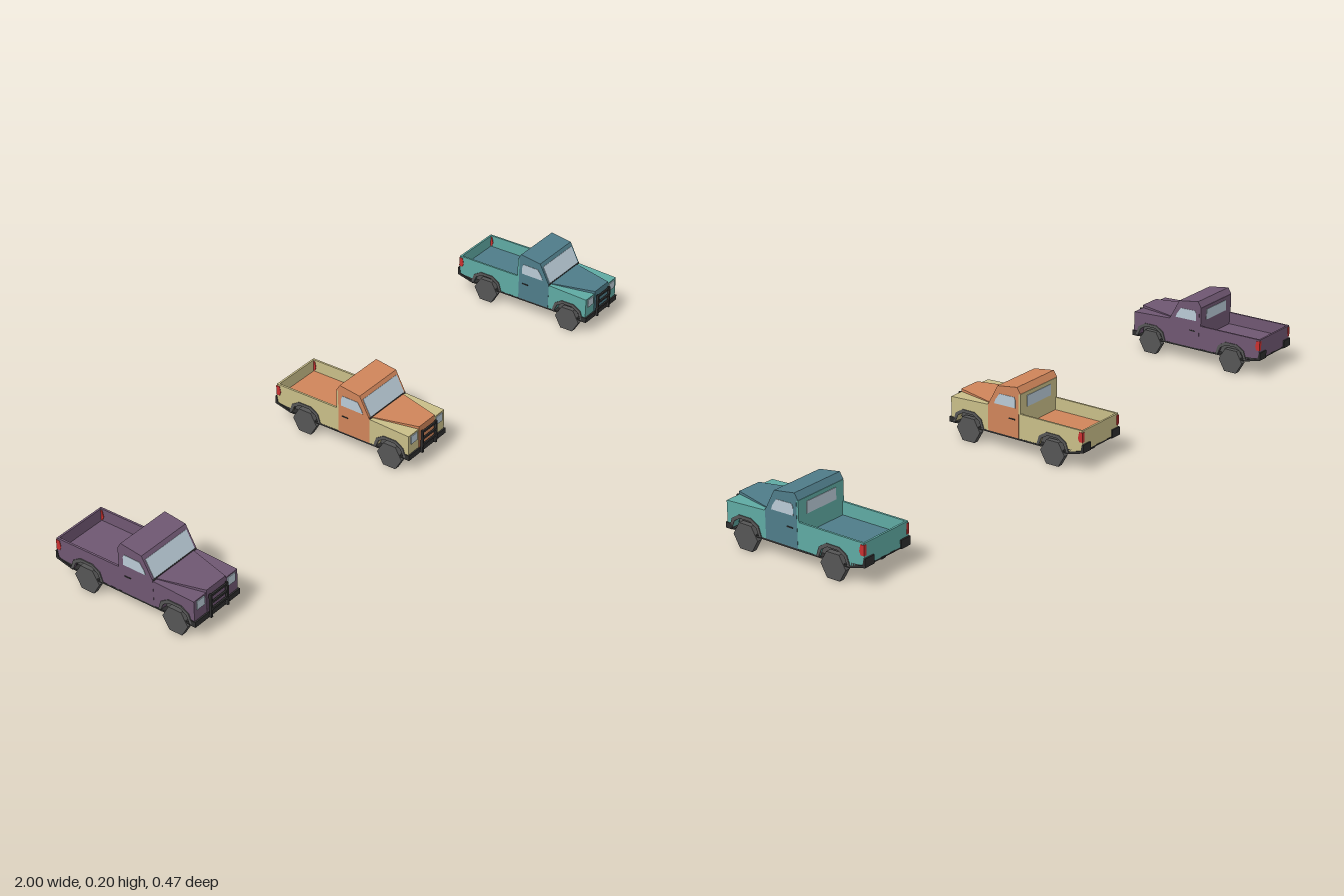
import * as THREE from 'three';

const mat = (name, color) => {
  const m = new THREE.MeshStandardMaterial({ color });
  m.name = name;
  return m;
};

// Extrude a (z, y) side profile across x0..x1
function slab(points, x0, x1, holes = []) {
  const shape = new THREE.Shape(points.map(p => new THREE.Vector2(...p)));
  for (const h of holes) shape.holes.push(new THREE.Path(h.map(p => new THREE.Vector2(...p))));
  const g = new THREE.ExtrudeGeometry(shape, { depth: x1 - x0, bevelEnabled: false });
  return g.rotateY(-Math.PI / 2).translate(x1, 0, 0);
}

function box(x0, x1, y0, y1, z0, z1) {
  return new THREE.BoxGeometry(x1 - x0, y1 - y0, z1 - z0)
    .translate((x0 + x1) / 2, (y0 + y1) / 2, (z0 + z1) / 2);
}

const FRONT_AXLE = 0.16, REAR_AXLE = -0.131;
// Wheel arch outlines, running from front to rear
const arch = (c, pts) => [...pts, ...pts.slice().reverse().map(([z, y]) => [-z, y])].map(([z, y]) => [c + z, y]);
const outerArch = c => arch(c, [[0.054, 0.05], [0.045, 0.077], [0.021, 0.092]]);
const innerArch = c => arch(c, [[0.046, 0.05], [0.037, 0.071], [0.017, 0.083]]);

function makeTruck(name, cabMat, bodyMat, m) {
  const truck = new THREE.Group();
  truck.name = name;
  const add = (part, geometry, material) => {
    const mesh = new THREE.Mesh(geometry, material);
    mesh.name = part;
    truck.add(mesh);
  };
  // Adds a slab on both sides
  const pair = (part, points, x0, x1, material) => {
    add(part + 'Left', slab(points, x0, x1), material);
    add(part + 'Right', slab(points, -x1, -x0), material);
  };

  // Underside and wheel wells
  add('underbody', box(-0.0855, 0.0855, 0.045, 0.05, -0.18, 0.222), m.trim);
  add('rearUnderside', slab([[-0.18, 0.045], [-0.18, 0.06], [-0.231, 0.063], [-0.231, 0.059]], -0.085, 0.085), m.trim);
  add('wheelWells', slab([[0.2, 0.05], [0.2, 0.1], [0, 0.1], [-0.02, 0.082], [-0.226, 0.082], [-0.226, 0.064], [-0.18, 0.05]], -0.066, 0.066), m.rubber);

  // Front fenders and nose
  pair('fender', [[0.222, 0.05], [0.222, 0.121], [0.09, 0.127], [0.09, 0.05], ...innerArch(FRONT_AXLE).reverse()], 0.066, 0.085, bodyMat);
  add('nose', slab([[0.222, 0.05], [0.222, 0.121], [0.09, 0.127], [0.09, 0.09], [0.205, 0.09], [0.205, 0.05]], -0.066, 0.066), bodyMat);

  // Tapered hood running down into the grille
  const hood = new THREE.Shape([[-0.037, -0.2235], [0.037, -0.2235], [0.074, -0.088], [-0.074, -0.088]].map(p => new THREE.Vector2(...p)));
  add('hood', new THREE.ExtrudeGeometry(hood, { depth: 0.073, bevelEnabled: false })
    .rotateX(-Math.PI / 2).translate(0, 0.056, 0), cabMat);

  // Cab with its rear wall
  add('cab', slab([[0.091, 0.05], [0.091, 0.128], [0.058, 0.19], [-0.01, 0.2], [-0.021, 0.182], [-0.015, 0.18], [-0.015, 0.05]], -0.0855, 0.0855), cabMat);
  add('cabRearWall', box(-0.085, 0.085, 0.05, 0.181, -0.021, -0.0145), bodyMat);

  // Windows
  const onSlope = (t, d) => [0.091 - 0.033 * t + 0.883 * d, 0.128 + 0.062 * t + 0.47 * d];
  const pane = (a, b) => [onSlope(a, -0.001), onSlope(a, 0.0015), onSlope(b, 0.0015), onSlope(b, -0.001)];
  add('windshield', slab(pane(0.05, 0.82), -0.079, 0.079), m.glass);
  add('cowl', slab(pane(-0.02, 0.04), -0.084, 0.084), m.trim);
  pair('sideWindow', [[0.069, 0.136], [0.065, 0.148], [0.051, 0.168], [0, 0.169], [-0.004, 0.16], [-0.004, 0.137]], 0.085, 0.0865, m.glass);
  add('rearWindow', box(-0.055, 0.055, 0.137, 0.17, -0.0225, -0.02), m.glass);
  pair('doorHandle', [[0.018, 0.1015], [0.018, 0.1045], [-0.002, 0.1045], [-0.002, 0.1015]], 0.085, 0.0872, m.trim);

  // Open cargo bed
  pair('bedSide', [[-0.02, 0.05], [-0.02, 0.123], [-0.23, 0.123], [-0.23, 0.063], [-0.18, 0.05], ...innerArch(REAR_AXLE).reverse()], 0.079, 0.085, bodyMat);
  add('bedFloor', box(-0.08, 0.08, 0.081, 0.086, -0.226, -0.02), cabMat);
  add('tailgate', box(-0.0845, 0.0845, 0.062, 0.1225, -0.2305, -0.2245), bodyMat);
  pair('tailLight', [[-0.216, 0.1], [-0.22, 0.118], [-0.2315, 0.118], [-0.2315, 0.089], [-0.22, 0.089]], 0.077, 0.0862, m.red);

  // Bumpers
  add('frontBumper', box(-0.0875, 0.0875, 0.045, 0.061, 0.206, 0.2265), m.trim);
  pair('rearBumper', [[-0.18, 0.045], [-0.235, 0.059], [-0.235, 0.083], [-0.23, 0.083], [-0.226, 0.064], [-0.18, 0.051]], 0.052, 0.087, m.trim);

  // Headlights and bull bar
  for (const s of [-1, 1]) {
    add('headlight', box(s * 0.06 - 0.015, s * 0.06 + 0.015, 0.092, 0.117, 0.22, 0.2245), m.glass);
    add('bullBarPost', box(s * 0.032 - 0.003, s * 0.032 + 0.003, 0.047, 0.117, 0.228, 0.235), m.trim);
    add('bullBarMount', box(s * 0.032 - 0.003, s * 0.032 + 0.003, 0.047, 0.054, 0.222, 0.23), m.trim);
  }
  for (const y of [0.07, 0.09, 0.112]) add('bullBarRail', box(-0.032, 0.032, y - 0.003, y + 0.003, 0.229, 0.234), m.trim);

  // Wheels and arch flares
  for (const z of [FRONT_AXLE, REAR_AXLE]) {
    for (const s of [-1, 1]) {
      const wheel = new THREE.CylinderGeometry(0.041, 0.041, 0.016, 6).toNonIndexed();
      wheel.computeVertexNormals();
      add('wheel', wheel.rotateZ(Math.PI / 2).translate(s * 0.0795, 0.0355, z), m.rubber);
      const band = [...outerArch(z), ...innerArch(z).reverse()];
      add('archFlare', s > 0 ? slab(band, 0.08, 0.0875) : slab(band, -0.0875, -0.08), m.rubber);
    }
  }
  return truck;
}

export function createModel() {
  const m = {
    glass: mat('pale glass', 0xb9cad6),
    rubber: mat('grey rubber', 0x555555),
    trim: mat('dark trim', 0x2e2e2e),
    red: mat('tail light red', 0xc83030),
  };
  const purple = mat('purple paint', 0x6f5772);
  const trucks = [
    makeTruck('purpleTruck', purple, purple, m),
    makeTruck('orangeTruck', mat('orange paint', 0xd0855a), mat('sand paint', 0xc9be88), m),
    makeTruck('tealTruck', mat('blue paint', 0x4f7c89), mat('teal paint', 0x5faaa3), m),
  ];
  const model = new THREE.Group();
  model.name = 'pickupTrucks';
  trucks.forEach((t, i) => {
    t.position.x = (i - 1) * 0.9125;
    model.add(t);
  });
  return model;
}
